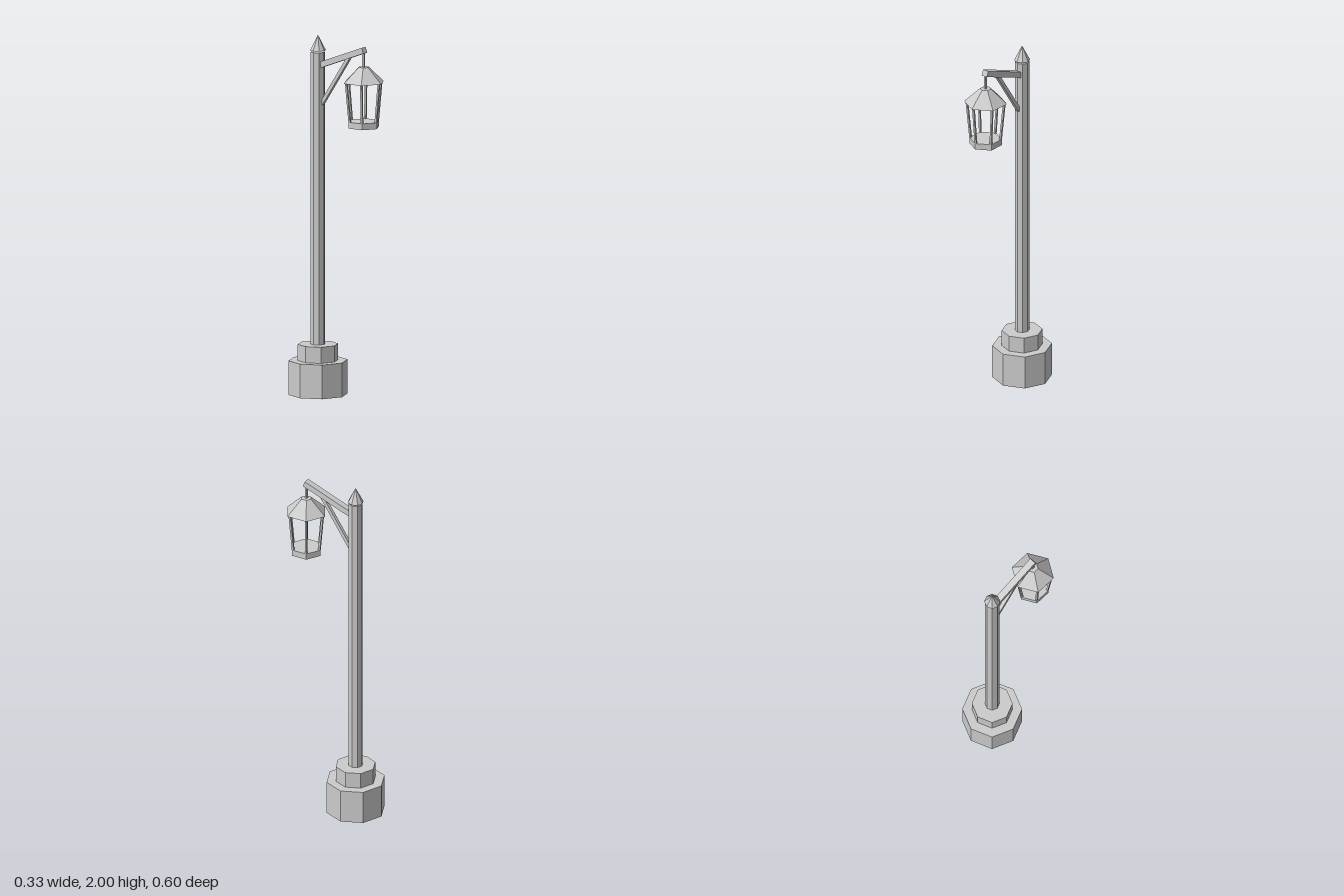
import * as THREE from 'three';

export function createModel() {
  const model = new THREE.Group();
  const metal = new THREE.MeshStandardMaterial({ color: 0xcccccc, flatShading: true });
  metal.name = 'grey metal';

  const POLE_Z = -0.135, LAMP_Z = 0.178;

  function add(name, geometry, parent = model) {
    const mesh = new THREE.Mesh(geometry, metal);
    mesh.name = name;
    parent.add(mesh);
    return mesh;
  }

  // Upright prism or frustum between two heights
  function prism(name, rTop, rBottom, y0, y1, sides, z, parent) {
    const mesh = add(name, new THREE.CylinderGeometry(rTop, rBottom, y1 - y0, sides), parent);
    mesh.position.set(0, (y0 + y1) / 2, z);
    return mesh;
  }

  // Rectangular bar between two points
  function bar(name, a, b, width, depth, parent) {
    const from = new THREE.Vector3(...a), to = new THREE.Vector3(...b);
    const dir = to.clone().sub(from);
    const mesh = add(name, new THREE.BoxGeometry(width, dir.length(), depth), parent);
    mesh.position.copy(from).add(to).multiplyScalar(0.5);
    mesh.quaternion.setFromUnitVectors(new THREE.Vector3(0, 1, 0), dir.normalize());
    return mesh;
  }

  // Stepped octagonal foot, pole and pointed finial
  prism('base', 0.164, 0.164, 0, 0.19, 8, POLE_Z);
  prism('collar', 0.112, 0.112, 0.19, 0.28, 8, POLE_Z);
  prism('pole', 0.04, 0.04, 0.28, 1.905, 8, POLE_Z);
  prism('finial', 0, 0.044, 1.914, 2, 8, POLE_Z);

  // Bracket
  bar('arm', [0, 1.835, -0.115], [0, 1.947, 0.183], 0.037, 0.033);
  bar('brace', [0, 1.62, -0.106], [0, 1.895, 0.078], 0.02, 0.02);
  bar('hanger', [0, 1.845, LAMP_Z], [0, 1.945, LAMP_Z], 0.012, 0.012);

  // Hexagonal lantern
  const lantern = new THREE.Group();
  lantern.name = 'lantern';
  model.add(lantern);
  prism('lanternRoof', 0.03, 0.119, 1.768, 1.853, 6, LAMP_Z, lantern);
  prism('lanternTray', 0.09, 0.09, 1.517, 1.552, 6, LAMP_Z, lantern);
  for (let i = 0; i < 6; i++) {
    const a = (i * Math.PI) / 3, s = Math.sin(a), c = Math.cos(a);
    bar('lanternPost',
      [s * 0.083, 1.55, LAMP_Z + c * 0.083],
      [s * 0.104, 1.77, LAMP_Z + c * 0.104], 0.011, 0.011, lantern);
  }
  return model;
}
